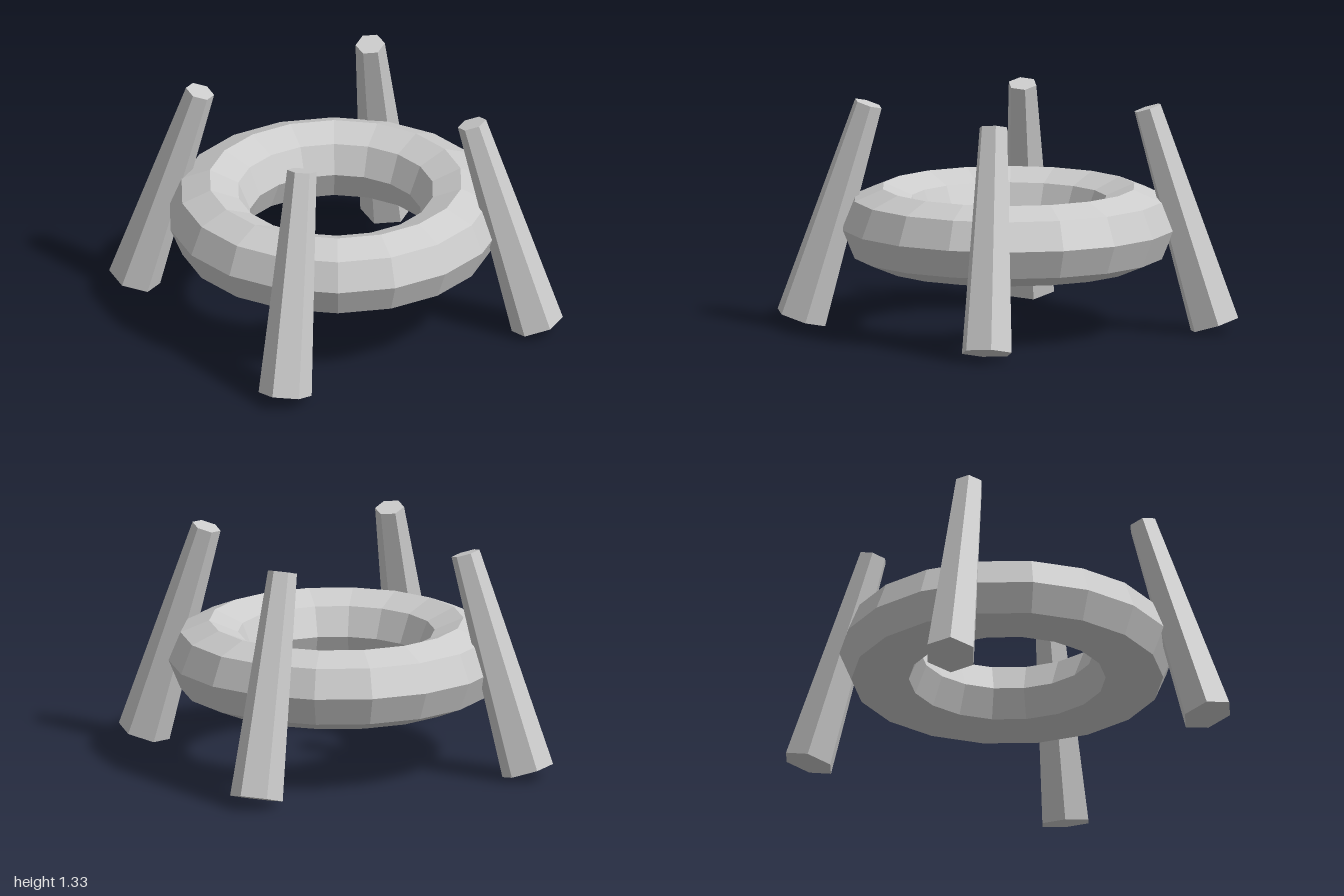
import * as THREE from 'three';

export function createModel() {
  const group = new THREE.Group();
  group.name = 'ringWithPosts';

  const grey = new THREE.MeshStandardMaterial({ color: 0xcccccc });
  grey.name = 'light grey';
  grey.flatShading = true;

  // Faceted ring lying flat
  const ringGeometry = new THREE.TorusGeometry(0.735, 0.235, 8, 18);
  ringGeometry.rotateX(-Math.PI / 2);
  const ring = new THREE.Mesh(ringGeometry, grey);
  ring.name = 'ring';
  ring.position.set(0, 0.597, -0.005);
  group.add(ring);

  // Four tapered six-sided posts leaning in towards the centre
  const up = new THREE.Vector3(0, 1, 0);
  const addPost = (name, sx, sz) => {
    const foot = new THREE.Vector3(0.848 * sx, 0.045, 0.848 * sz);
    const tip = new THREE.Vector3(0.572 * sx, 1.303, 0.574 * sz);
    const axis = tip.clone().sub(foot);
    const post = new THREE.Mesh(
      new THREE.CylinderGeometry(0.085, 0.154, axis.length(), 6), grey);
    post.name = name;
    post.position.copy(foot).add(tip).multiplyScalar(0.5);
    post.quaternion.setFromUnitVectors(up, axis.normalize());
    group.add(post);
  };
  for (const [side, sx] of [['Left', 1], ['Right', -1]]) {
    addPost('front' + side + 'Post', sx, 1);
    addPost('back' + side + 'Post', sx, -1);
  }

  return group;
}
